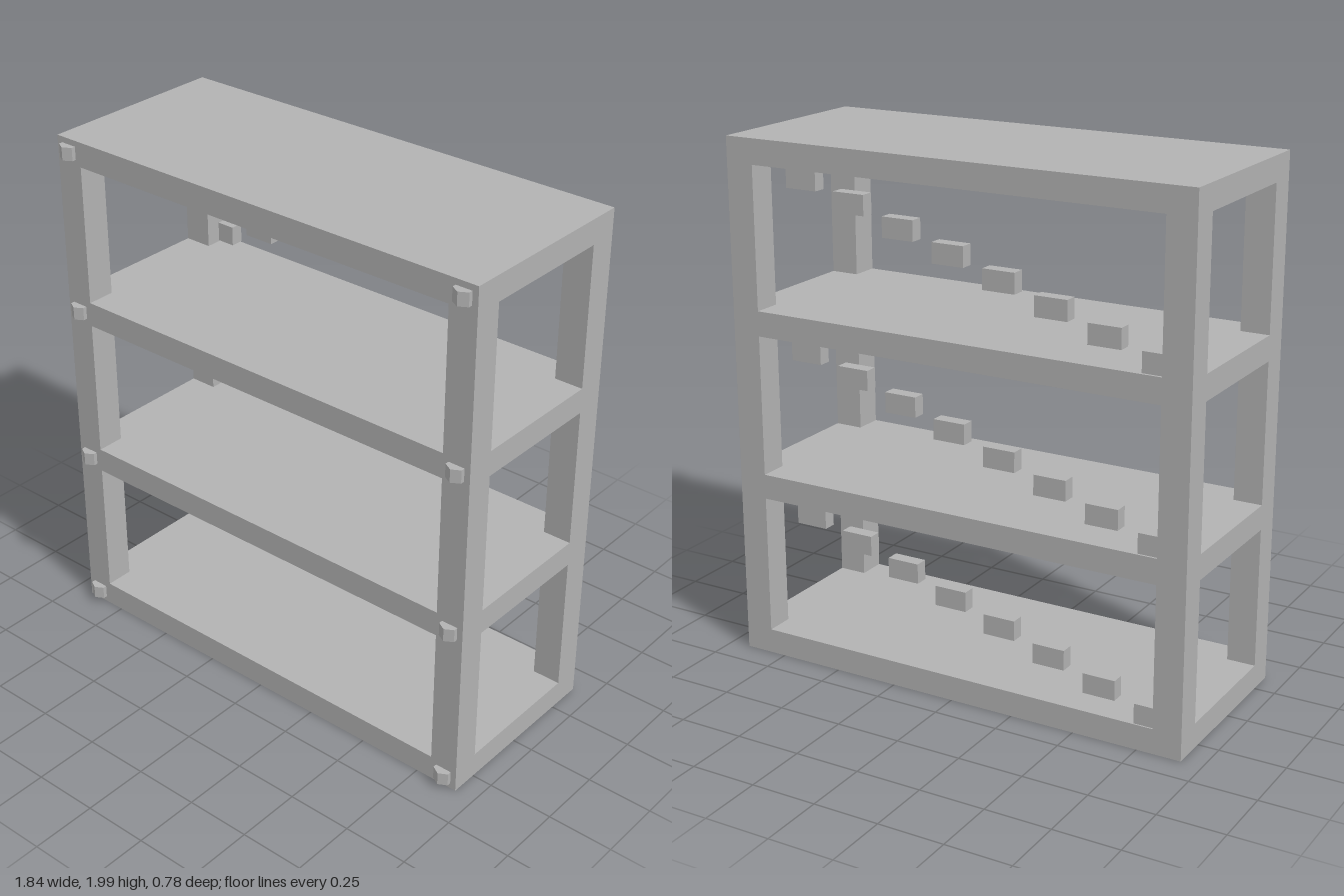
import * as THREE from 'three';

export function createModel() {
  const model = new THREE.Group();
  model.name = 'shelvingRack';
  const grey = new THREE.MeshStandardMaterial({ color: 0xb2b2b2 });
  grey.name = 'grey';

  const HALF_W = 0.92, FRONT = 0.355, BACK = -0.39;
  const BOTTOM = 0.01, TOP = 2, BOARD = 0.095, POST = 0.11;
  const PITCH = (TOP - BOTTOM - BOARD) / 3;

  // Box given by its minimum and maximum corners
  function box(name, x0, x1, y0, y1, z0, z1) {
    const mesh = new THREE.Mesh(new THREE.BoxGeometry(x1 - x0, y1 - y0, z1 - z0), grey);
    mesh.position.set((x0 + x1) / 2, (y0 + y1) / 2, (z0 + z1) / 2);
    mesh.name = name;
    model.add(mesh);
  }

  const studGeometry = new THREE.CylinderGeometry(0.037, 0.037, 0.05, 6).toNonIndexed();
  studGeometry.computeVertexNormals();

  for (let level = 0; level < 4; level++) {
    const y = BOTTOM + level * PITCH;

    // Full-depth shelf board
    box('shelf', -HALF_W, HALF_W, y, y + BOARD, BACK, FRONT);

    // Hexagonal studs on the front corners
    for (const side of [-1, 1]) {
      const stud = new THREE.Mesh(studGeometry, grey);
      stud.position.set(side * 0.865, y + BOARD / 2, 0.352);
      stud.name = 'stud';
      model.add(stud);
    }
    if (level === 3) continue;

    // Corner post segments between this shelf and the next
    for (const x of [-HALF_W, HALF_W - POST]) {
      box('frontPost', x, x + POST, y + BOARD, y + PITCH, FRONT - POST, FRONT);
      box('backPost', x, x + POST, y + BOARD, y + PITCH, BACK, BACK + POST);
    }

    // Rising row of small blocks along the back
    for (let i = 0; i < 8; i++) {
      const bx = -0.8 + i * 0.2, by = y + 0.136 + i * 0.0665;
      box('backBlock', bx - 0.0625, bx + 0.0625, by - 0.0375, by + 0.0375, BACK, BACK + 0.05);
    }
  }
  return model;
}
